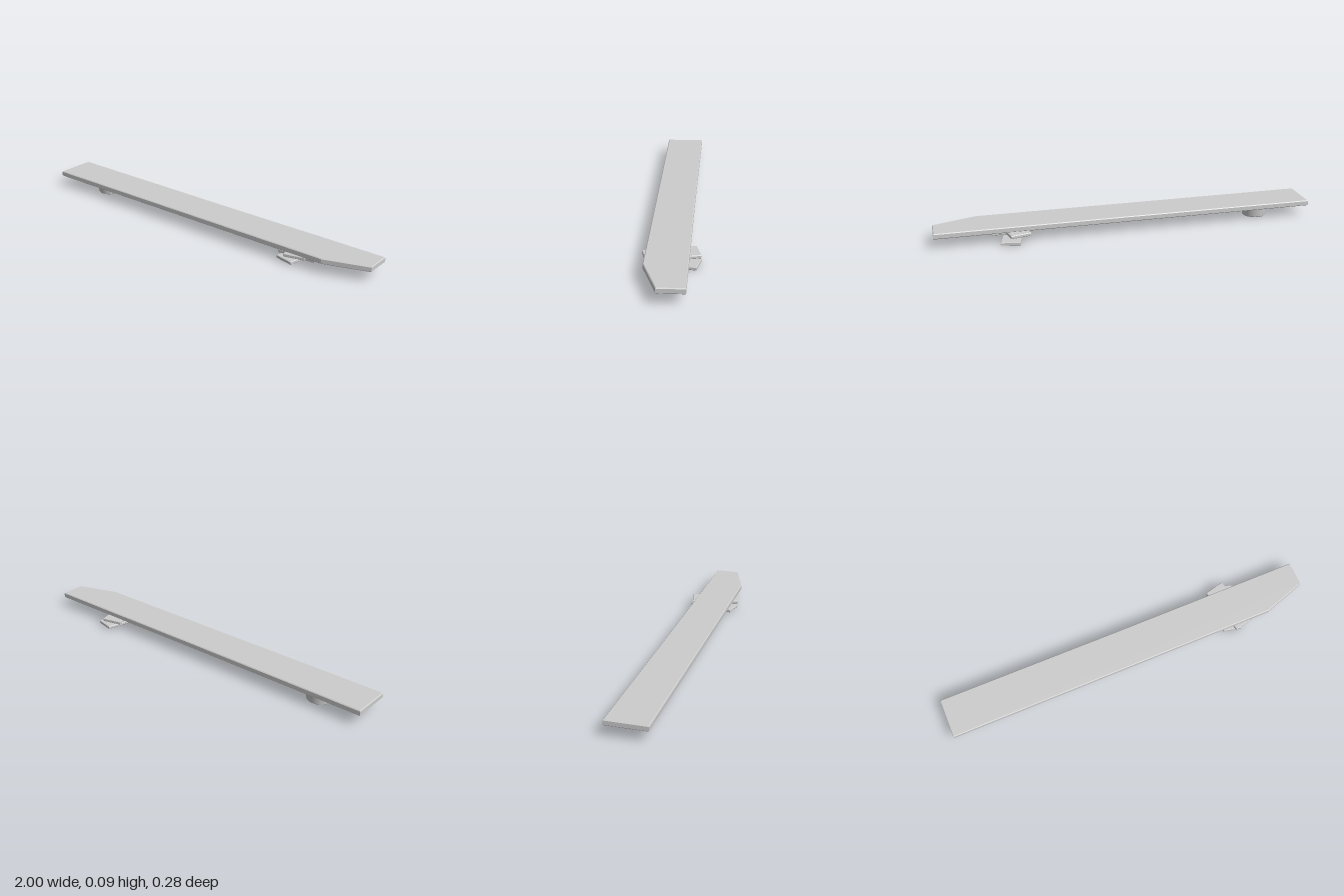
import * as THREE from 'three';

// Flat slab lying in xz: corners given as [x, z], with small chamfered edges.
function slab(name, corners, thickness, bevel, material) {
  const shape = new THREE.Shape(corners.map(([x, z]) => new THREE.Vector2(x, -z)));
  const geometry = new THREE.ExtrudeGeometry(shape, {
    depth: thickness - 2 * bevel,
    bevelEnabled: true,
    bevelThickness: bevel,
    bevelSize: bevel,
    bevelOffset: -bevel,
    bevelSegments: 1,
  });
  geometry.translate(0, 0, -thickness / 2 + bevel);
  geometry.rotateX(-Math.PI / 2);
  const mesh = new THREE.Mesh(geometry, material);
  mesh.name = name;
  return mesh;
}

export function createModel() {
  const model = new THREE.Group();
  model.name = 'plankOnSupports';
  const grey = new THREE.MeshStandardMaterial({ color: 0xcccccc });
  grey.name = 'light grey';

  // Long plank with one corner cut off
  const plank = slab('plank', [
    [-1, 0.115], [0.775, 0.119], [1, 0.045], [1, -0.085], [0, -0.087], [-1, -0.094],
  ], 0.029, 0.004, grey);
  plank.position.y = 0.0735;
  plank.rotation.z = -0.002;
  model.add(plank);

  // Round foot under one end, a little narrower at the bottom
  const foot = new THREE.Mesh(
    new THREE.LatheGeometry([
      [0, -0.028], [0.06, -0.028], [0.06, -0.028], [0.064, -0.024],
      [0.064, -0.024], [0.071, 0.03], [0.071, 0.03], [0, 0.03],
    ].map(([r, y]) => new THREE.Vector2(r, y)), 20),
    grey,
  );
  foot.name = 'roundFoot';
  foot.position.set(-0.725, 0.032, 0);
  foot.rotation.x = 0.03;
  model.add(foot);

  // Stack of loosely turned shims under the other end
  const stack = new THREE.Group();
  stack.name = 'shimStack';
  const shims = [
    // name, width, length, thickness, x, y, z, turn
    ['bottomShim', 0.1, 0.256, 0.017, 0.597, 0.0135, -0.004, -0.23],
    ['middleShim', 0.202, 0.097, 0.018, 0.61, 0.032, 0.031, 0.05],
    ['topShim', 0.108, 0.261, 0.017, 0.6, 0.051, 0.001, 0.24],
  ];
  for (const [name, w, l, t, x, y, z, turn] of shims) {
    const shim = slab(name, [
      [-w / 2, l / 2], [w / 2, l / 2], [w / 2, -l / 2], [-w / 2, -l / 2],
    ], t, 0.003, grey);
    shim.position.set(x, y, z);
    shim.rotation.y = turn;
    stack.add(shim);
  }
  model.add(stack);
  return model;
}
